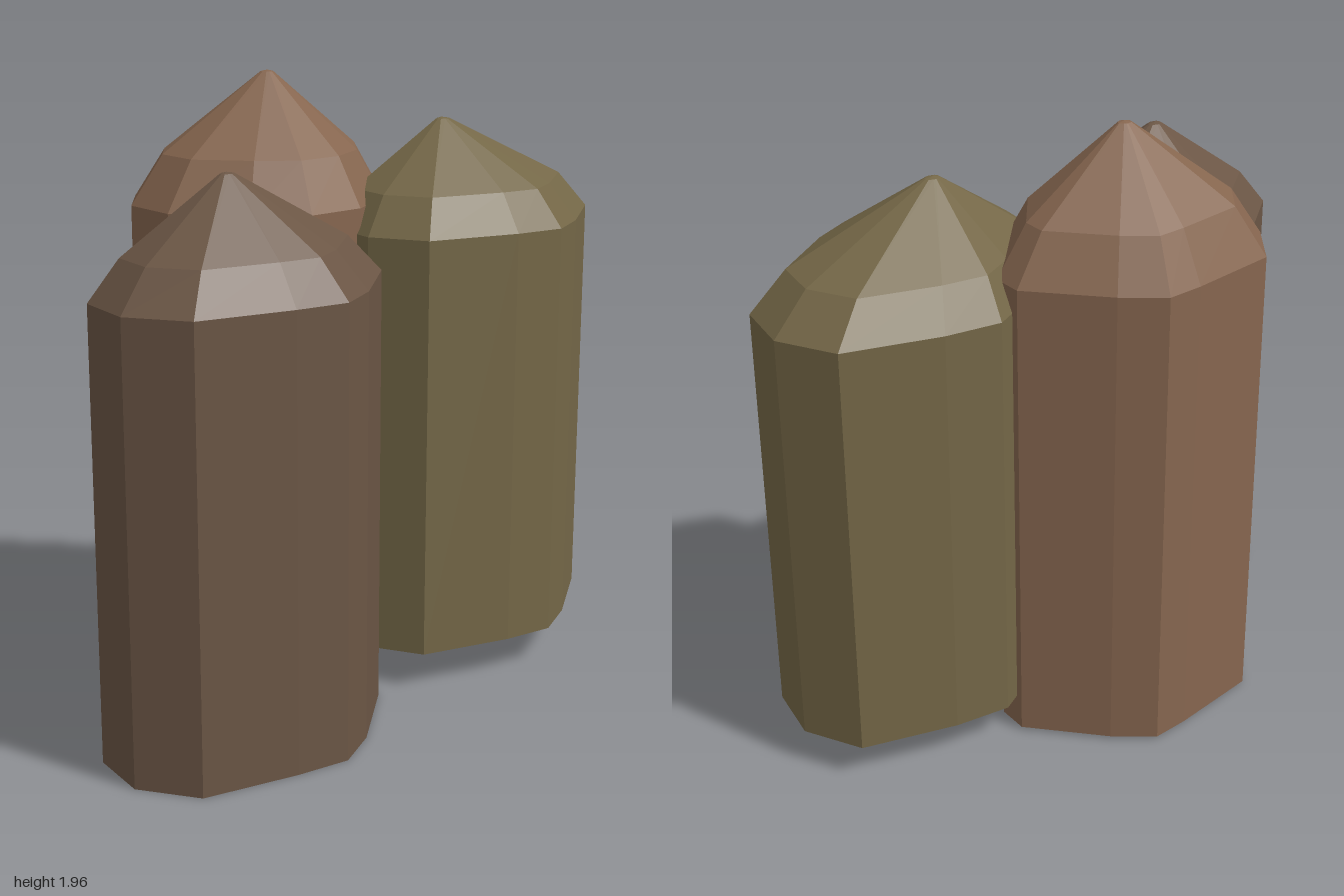
import * as THREE from 'three';

// Faceted column: a polygon outline (clockwise from above) lofted through
// levels of [scale about the tip, height].
function column(name, color, [cx, cz], outline, levels) {
  const n = outline.length;
  const pos = [];
  const point = ([s, y], i) => {
    const [x, z] = outline[i % n];
    return [cx + (x - cx) * s, y, cz + (z - cz) * s];
  };
  for (let l = 0; l < levels.length - 1; l++) {
    const lo = levels[l], hi = levels[l + 1];
    for (let i = 0; i < n; i++) {
      const a = point(lo, i), b = point(lo, i + 1);
      const c = point(hi, i), d = point(hi, i + 1);
      if (lo[0] > 0) pos.push(...b, ...a, ...c);
      if (hi[0] > 0) pos.push(...b, ...c, ...d);
    }
  }
  const geo = new THREE.BufferGeometry();
  geo.setAttribute('position', new THREE.Float32BufferAttribute(pos, 3));
  geo.computeVertexNormals();
  const mesh = new THREE.Mesh(geo, new THREE.MeshStandardMaterial({ color, flatShading: true }));
  mesh.name = name;
  return mesh;
}

// Flat base, straight shaft, shoulder ring and blunt tip
const profile = (base, eave, shoulder, tip, s) =>
  [[0, base], [1, base], [1, eave], [s, shoulder], [0.05, tip - 0.005], [0, tip]];

export function createModel() {
  const group = new THREE.Group();
  group.name = 'rockColumns';

  // Tallest column, on the right
  group.add(column('tallColumn', 0x86664f, [-0.23, 0.07], [
    [-0.29, -0.36], [-0.19, -0.36], [0.02, -0.20], [0.12, -0.02], [0.13, 0.18], [0.02, 0.33],
    [-0.17, 0.50], [-0.37, 0.50], [-0.53, 0.38], [-0.58, 0.08], [-0.59, -0.04], [-0.50, -0.16],
  ], profile(0.01, 1.55, 1.705, 1.955, 0.77)));

  // Shortest column, at the front
  group.add(column('frontColumn', 0x6b5645, [0.23, 0.57], [
    [0.11, 0.02], [0.29, 0.04], [0.50, 0.27], [0.58, 0.41], [0.56, 0.58], [0.50, 0.88],
    [0.33, 1.00], [0.13, 0.98], [-0.08, 0.73], [-0.16, 0.60], [-0.15, 0.46], [-0.06, 0.12],
  ], profile(0, 1.39, 1.51, 1.73, 0.77)));

  // Raised column, at the back
  group.add(column('backColumn', 0x746747, [0.07, -0.40], [
    [-0.02, -1.00], [0.18, -0.97], [0.37, -0.72], [0.45, -0.57], [0.43, -0.40], [0.35, -0.10],
    [0.18, 0.00], [-0.02, -0.02], [-0.22, -0.28], [-0.30, -0.42], [-0.28, -0.60], [-0.20, -0.90],
  ], profile(0.12, 1.47, 1.59, 1.80, 0.8)));

  return group;
}
